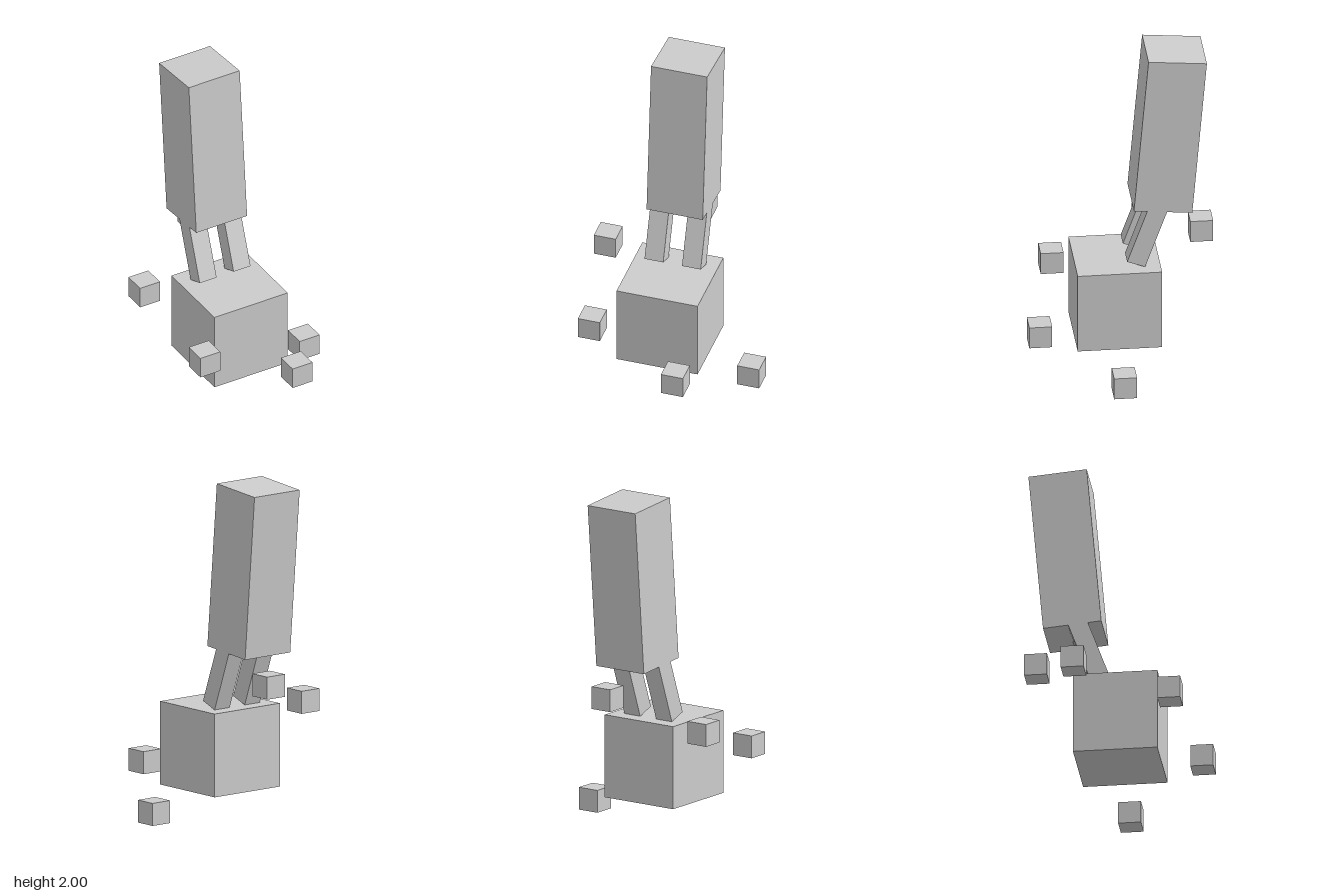
import * as THREE from 'three';

export function createModel() {
  const group = new THREE.Group();
  const stone = new THREE.MeshStandardMaterial({ color: 0xcccccc });
  stone.name = 'light grey';

  function addBox(name, size, position, tilt = 0) {
    const mesh = new THREE.Mesh(new THREE.BoxGeometry(...size), stone);
    mesh.name = name;
    mesh.position.set(...position);
    mesh.rotation.x = THREE.MathUtils.degToRad(tilt);
    group.add(mesh);
  }

  const centreX = -0.028;

  // Large cube at the bottom
  addBox('baseCube', [0.495, 0.495, 0.495], [centreX, 0.405, 0.015]);

  // Tall body leaning backwards
  addBox('body', [0.343, 0.982, 0.343], [centreX, 1.497, -0.289], -5);

  // Pair of slanted legs, flush with the sides of the body
  for (const [name, side] of [['leftLeg', 1], ['rightLeg', -1]]) {
    addBox(name, [0.114, 0.493, 0.112], [centreX + side * 0.1145, 0.903, -0.1725], -20);
  }

  // Small cubes spiralling around the base
  const orbit = [
    [0.472, 0.068, 0.017],
    [0.153, 0.262, 0.479],
    [-0.395, 0.454, 0.352],
    [-0.475, 0.645, -0.205],
    [0.017, 0.836, -0.479],
  ];
  orbit.forEach((p, i) => addBox(`floatingCube${i + 1}`, [0.134, 0.134, 0.134], p));

  return group;
}
